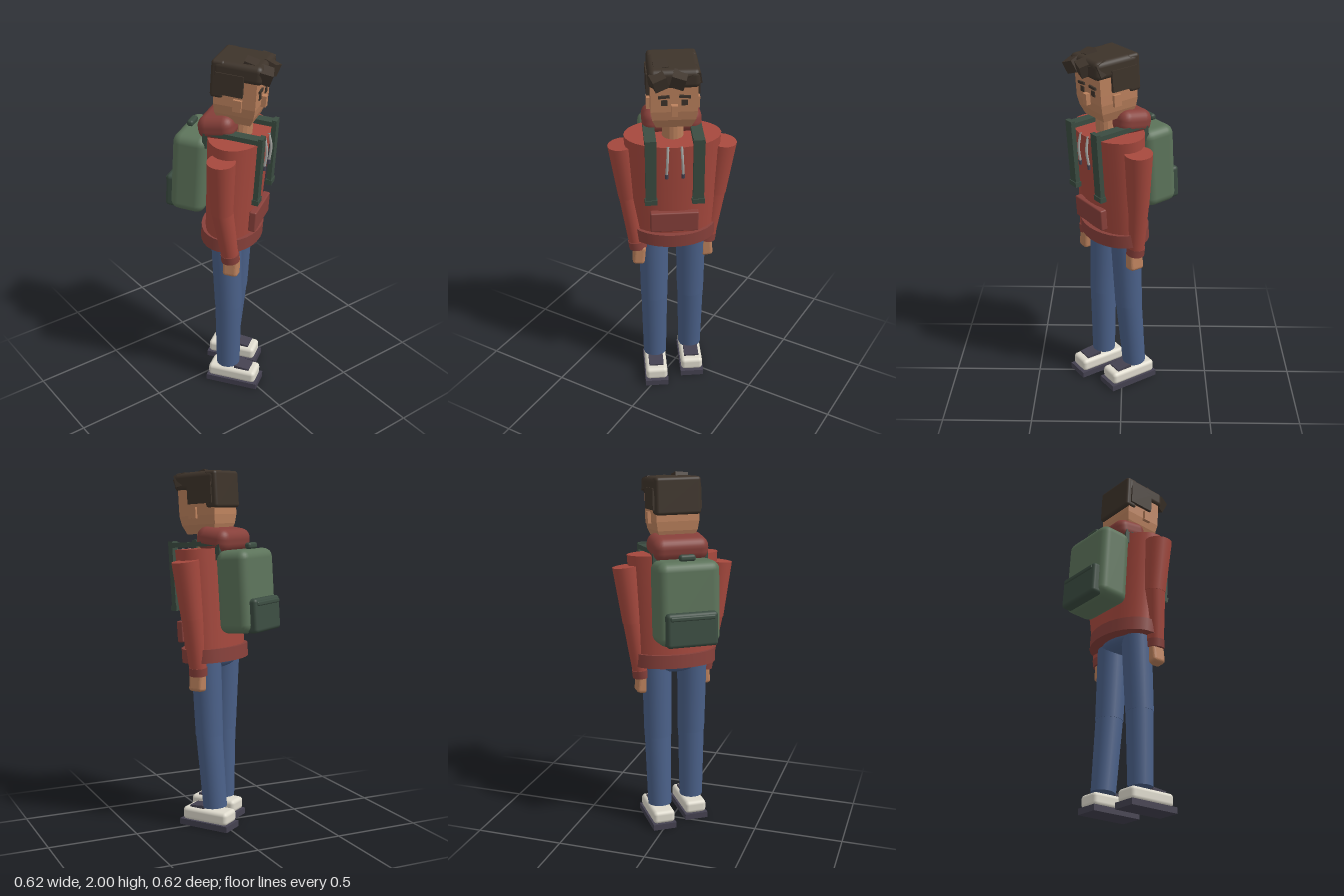
import * as THREE from 'three';
import { RoundedBoxGeometry } from 'three/addons/geometries/RoundedBoxGeometry.js';

const mat = (name, color, flatShading = false) => {
  const m = new THREE.MeshStandardMaterial({ color });
  m.name = name;
  m.flatShading = flatShading;
  return m;
};

export function createModel() {
  const red = mat('hoodieRed', 0xa5483d);
  const darkRed = mat('ribbingRed', 0x87403a);
  const denim = mat('denim', 0x4a6088);
  const skin = mat('skin', 0xba805c, true);
  const hair = mat('hair', 0x3d332a);
  const green = mat('packGreen', 0x5c735a);
  const darkGreen = mat('strapGreen', 0x3b4c41);
  const white = mat('shoeWhite', 0xdedacd);
  const grey = mat('cordGrey', 0xa9aaa6);
  const sole = mat('soleGrey', 0x444150);

  const add = (parent, name, geo, material, pos = [0, 0, 0], rot = [0, 0, 0]) => {
    const m = new THREE.Mesh(geo, material);
    m.name = name;
    m.position.set(...pos);
    m.rotation.set(...rot);
    parent.add(m);
    return m;
  };
  const box = (w, h, d) => new THREE.BoxGeometry(w, h, d);
  const round = (w, h, d, r) => new RoundedBoxGeometry(w, h, d, 3, r);
  // tapered cylinder running from point a (top) to point b (bottom)
  const limb = (parent, name, material, a, b, ra, rb, sides = 20) => {
    const A = new THREE.Vector3(...a), B = new THREE.Vector3(...b);
    const m = add(parent, name, new THREE.CylinderGeometry(ra, rb, A.distanceTo(B), sides), material);
    m.position.copy(A).add(B).multiplyScalar(0.5);
    m.quaternion.setFromUnitVectors(new THREE.Vector3(0, 1, 0), A.sub(B).normalize());
    return m;
  };
  // cylinder with an elliptical section
  const oval = (a0, a1, h, ratio) => new THREE.CylinderGeometry(a0, a1, h, 28).scale(1, 1, ratio);

  const model = new THREE.Group();
  model.name = 'backpacker';
  const body = new THREE.Group();
  body.name = 'body';
  body.position.set(0, 0, 0.04);
  body.rotation.y = 0.61;
  model.add(body);

  // legs and shoes; the right foot is a step ahead
  for (const s of [-1, 1]) {
    const side = s > 0 ? 'left' : 'right';
    const foot = s > 0 ? -0.02 : 0.053;
    const x = 0.107 * s;
    const ankle = [x, 0.12, foot - 0.04];
    const knee = [x * 0.99, 0.53, s > 0 ? -0.022 : 0.014];
    limb(body, side + 'Thigh', denim, [x * 0.97, 0.97, 0], knee, 0.084, 0.077);
    limb(body, side + 'Shin', denim, [knee[0], 0.535, knee[2]], ankle, 0.075, 0.067);
    add(body, side + 'Sole', box(0.135, 0.034, 0.306), sole, [x, 0.017, foot]);
    add(body, side + 'Shoe', round(0.126, 0.074, 0.285, 0.022), white, [x, 0.068, foot - 0.002]);
    add(body, side + 'Tongue', box(0.085, 0.022, 0.09), sole, [x, 0.108, foot + 0.055], [0.1, 0, 0]);
  }
  add(body, 'pelvis', new THREE.SphereGeometry(0.1, 20, 12).scale(1.6, 0.6, 1.05), denim, [0, 0.96, 0]);

  // arms and hands
  for (const s of [-1, 1]) {
    const side = s > 0 ? 'left' : 'right';
    const swing = s > 0 ? 0 : 0.06;
    const elbow = [0.235 * s, 1.2, s > 0 ? 0.008 : 0.022];
    const wrist = [0.195 * s, 0.9, swing - 0.005];
    limb(body, side + 'UpperArm', red, [0.268 * s, 1.51, 0.03], elbow, 0.075, 0.06);
    limb(body, side + 'Forearm', red, [0.236 * s, 1.215, elbow[2]], wrist, 0.059, 0.047);
    limb(body, side + 'Cuff', darkRed, [0.199 * s, 0.93, swing - 0.006], [0.193 * s, 0.885, swing - 0.004], 0.051, 0.051);
    add(body, side + 'Hand', round(0.068, 0.115, 0.085, 0.018), skin, [0.19 * s, 0.85, swing], [0, 0, 0.1 * s]);
  }

  // upper body leans slightly forward from the hips
  const upper = new THREE.Group();
  upper.name = 'upperBody';
  upper.position.y = 0.95;
  upper.rotation.x = 0.065;
  body.add(upper);
  add(upper, 'torso', oval(0.257, 0.225, 0.61, 0.61), red, [0, 0.315, 0]);
  add(upper, 'hem', oval(0.238, 0.238, 0.075, 0.69), darkRed, [0, 0.038, 0]);
  add(upper, 'frontPocket', round(0.26, 0.12, 0.04, 0.008), darkRed, [0, 0.163, 0.145]);
  add(upper, 'hood', round(0.315, 0.13, 0.2, 0.055), darkRed, [0, 0.665, -0.095], [-0.2, 0, 0]);
  add(upper, 'neck', new THREE.CylinderGeometry(0.054, 0.058, 0.14, 16), skin, [0, 0.66, 0.012]);

  // drawstrings
  for (const s of [-1, 1]) {
    const path = new THREE.CatmullRomCurve3([
      new THREE.Vector3(0.035 * s, 0.625, 0.15),
      new THREE.Vector3(0.039 * s, 0.55, 0.168),
      new THREE.Vector3(0.043 * s, 0.465, 0.163)]);
    add(upper, 'drawstring', new THREE.TubeGeometry(path, 8, 0.007, 6), grey);
    add(upper, 'drawstringTip', new THREE.CylinderGeometry(0.009, 0.009, 0.025, 8), sole, [0.043 * s, 0.455, 0.163]);
  }

  // backpack with pocket, handle and straps
  const pack = new THREE.Group();
  pack.name = 'backpack';
  upper.add(pack);
  add(pack, 'packBody', round(0.345, 0.45, 0.195, 0.05), green, [0, 0.38, -0.222]);
  add(pack, 'packPocket', round(0.285, 0.185, 0.07, 0.02), darkGreen, [0, 0.25, -0.318]);
  add(pack, 'pocketFlap', round(0.25, 0.025, 0.02, 0.008), darkGreen, [0, 0.315, -0.35]);
  add(pack, 'handle', round(0.09, 0.035, 0.036, 0.014), darkGreen, [0, 0.622, -0.265]);
  for (const s of [-1, 1]) {
    const x = 0.125 * s;
    add(pack, 'shoulderStrap', box(0.06, 0.026, 0.32), darkGreen, [x, 0.645, 0.01]);
    add(pack, 'chestStrap', box(0.058, 0.385, 0.026), darkGreen, [x, 0.475, 0.158]);
    add(pack, 'strapEnd', box(0.066, 0.028, 0.036), darkGreen, [x, 0.3, 0.158]);
    add(pack, 'rearStrap', box(0.058, 0.1, 0.026), darkGreen, [x, 0.605, -0.14]);
  }

  // head: a box narrowed towards the chin
  const head = new THREE.Group();
  head.name = 'head';
  upper.add(head);
  const skull = box(0.24, 0.3, 0.225, 1, 1, 1);
  const tapered = new THREE.BoxGeometry(0.24, 0.3, 0.225, 1, 6, 1);
  skull.dispose();
  const p = tapered.attributes.position;
  for (let i = 0; i < p.count; i++) {
    const y = p.getY(i);
    const k = y < -0.14 ? 0.76 : y < -0.09 ? 0.93 : 1;
    p.setX(i, p.getX(i) * k);
    p.setZ(i, p.getZ(i) * k);
  }
  tapered.computeVertexNormals();
  add(head, 'face', tapered, skin, [0, 0.85, -0.005]);
  add(head, 'nose', box(0.034, 0.06, 0.03), skin, [0, 0.815, 0.118]);
  for (const s of [-1, 1]) {
    add(head, 'ear', box(0.025, 0.062, 0.045), skin, [0.125 * s, 0.815, 0.015]);
    add(head, 'brow', box(0.058, 0.014, 0.012), hair, [0.053 * s, 0.887, 0.111], [0, 0, -0.06 * s]);
    add(head, 'eye', box(0.032, 0.03, 0.008), hair, [0.052 * s, 0.853, 0.108]);
    add(head, 'sideHair', box(0.026, 0.115, 0.15), hair, [0.124 * s, 0.92, -0.035]);
  }

  // hair cap, back and loose curls
  add(head, 'hairCap', round(0.262, 0.1, 0.265, 0.03), hair, [0, 0.985, 0]);
  add(head, 'backHair', round(0.255, 0.2, 0.075, 0.018), hair, [0, 0.935, -0.102]);
  const curls = [
    [-0.08, 0.985, 0.135, 0.3], [0.02, 0.99, 0.132, -0.25],
    [0.092, 0.99, 0.09, 0.2], [-0.064, 1.012, 0.05, 0.1]];
  for (const [x, y, z, t] of curls) {
    add(head, 'curl', box(0.072, 0.068, 0.068), hair, [x, y, z], [0.25, t, t * 0.8]);
  }
  return model;
}
